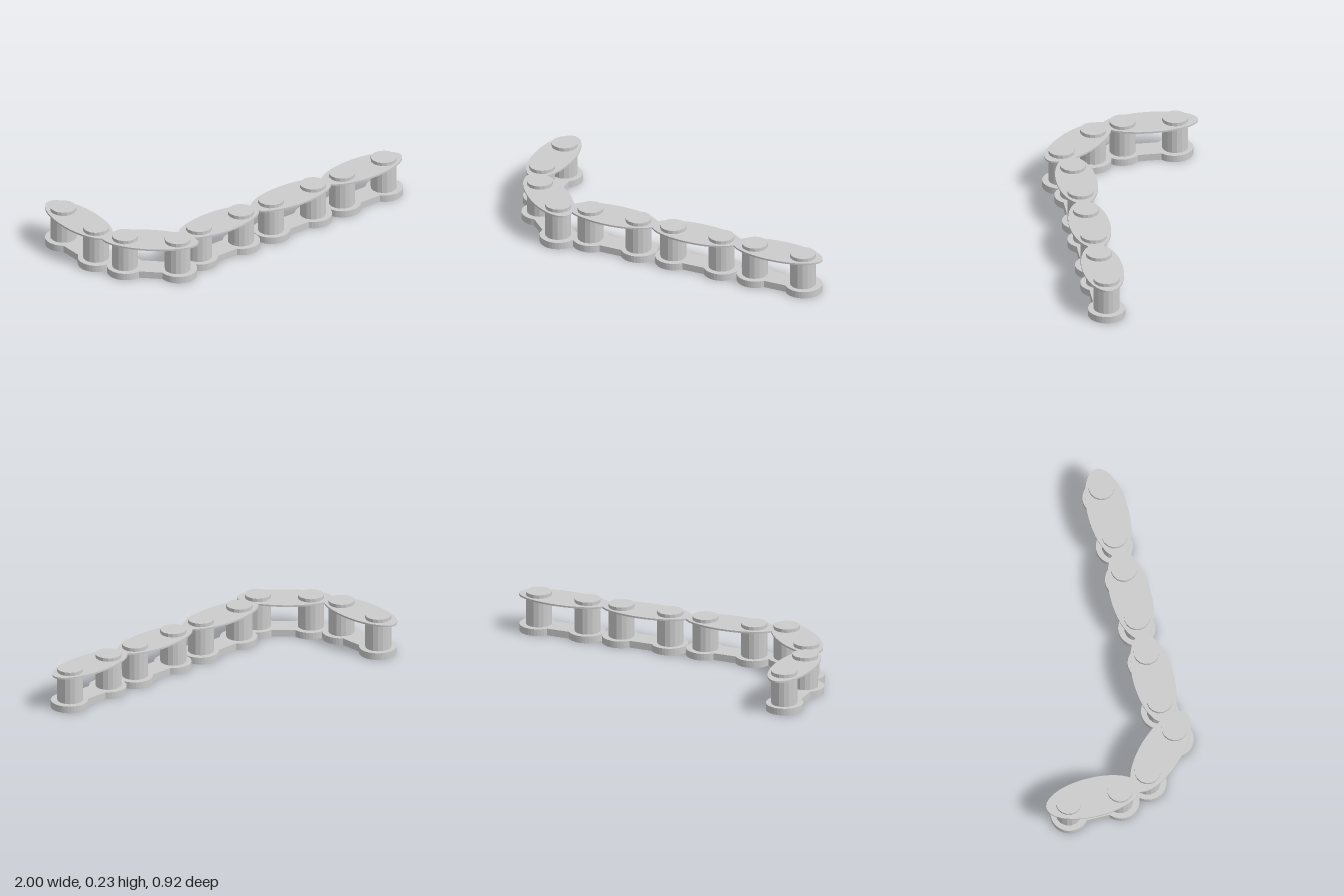
import * as THREE from 'three';

const material = new THREE.MeshStandardMaterial({ color: 0xcccccc, flatShading: true });
const PIN_OFFSET = 0.1485;

// Horizontal plate made from a flat outline
function plate(name, shape, y, thickness, curveSegments) {
  const geometry = new THREE.ExtrudeGeometry(shape, { depth: thickness, bevelEnabled: false, curveSegments });
  geometry.rotateX(-Math.PI / 2);
  const mesh = new THREE.Mesh(geometry, material);
  mesh.name = name;
  mesh.position.y = y;
  return mesh;
}

// Two round lobes joined by a straight, narrower neck
function waistedOutline(radius, neck, left, right) {
  const a = Math.asin(neck / radius);
  const shape = new THREE.Shape();
  shape.absarc(right, 0, radius, -Math.PI + a, Math.PI - a, false);
  shape.absarc(left, 0, radius, a, 2 * Math.PI - a, false);
  shape.closePath();
  return shape;
}

function createLink() {
  const link = new THREE.Group();

  // Thick lower plate
  link.add(plate('lowerPlate', waistedOutline(0.105, 0.065, -0.145, 0.153), 0, 0.04, 14));

  // Thin oval upper plate
  const oval = new THREE.Shape();
  oval.absellipse(-0.006, 0, 0.271, 0.115, 0, Math.PI * 2, false);
  link.add(plate('upperPlate', oval, 0.201, 0.01, 28));

  // Pins standing through both plates
  for (const side of [-1, 1]) {
    const pin = new THREE.Mesh(new THREE.CylinderGeometry(0.073, 0.073, 0.211, 16), material);
    pin.name = side < 0 ? 'firstPin' : 'secondPin';
    pin.position.set(side * PIN_OFFSET, 0.1255, 0);
    link.add(pin);
  }
  return link;
}

export function createModel() {
  const chain = new THREE.Group();
  chain.name = 'chain';

  // Centre x, centre z and heading of each link along the chain
  const links = [
    [-0.888, -0.183, Math.PI / 2],
    [-0.715, 0.247, Math.PI / 4],
    [-0.28, 0.313, 0],
    [0.231, 0.313, 0],
    [0.734, 0.313, 0],
  ];
  links.forEach(([x, z, heading], i) => {
    const link = createLink();
    link.name = `link${i + 1}`;
    link.position.set(x, 0, z);
    link.rotation.y = -heading;
    chain.add(link);
  });
  return chain;
}
